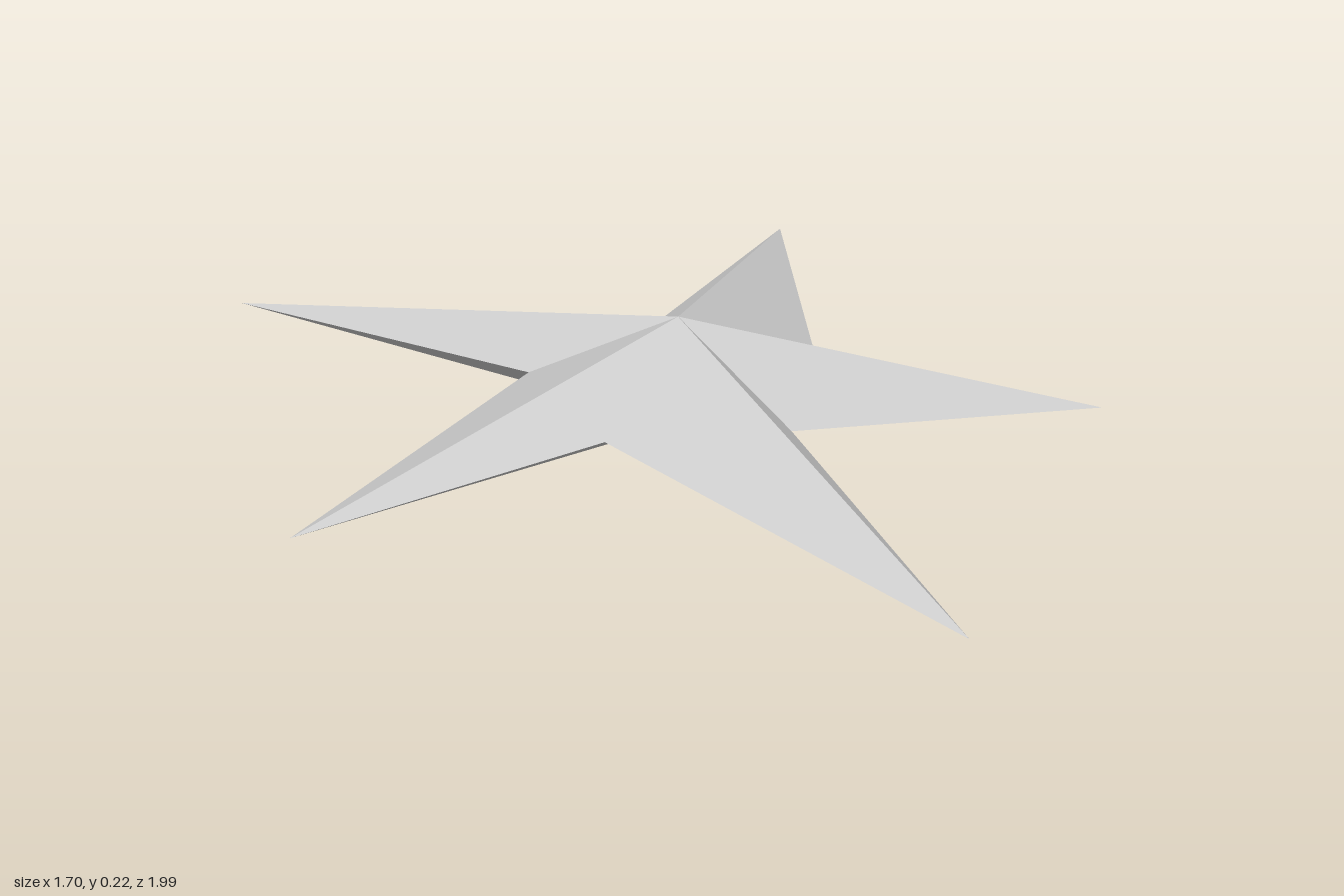
import * as THREE from 'three';

// Outline seen from above, clockwise: ray tip, then the notch after it (x, z)
const OUTLINE = [
  [-0.26, -1.0], [0.2, -0.23],
  [0.845, -0.5], [0.31, 0.1],
  [0.61, 0.58], [0.02, 0.31],
  [-0.27, 0.99], [-0.26, 0.1],
  [-0.85, -0.09], [-0.15, -0.23],
];
const TIP_Y = 0.03, NOTCH_Y = 0.085;
const CENTRE = [0.02, 0.01];

// Fan of flat facets from a central point out to the rim
function facetFan(centreY, facesUp) {
  const rim = OUTLINE.map(([x, z], i) => [x, i % 2 ? NOTCH_Y : TIP_Y, z]);
  const centre = [CENTRE[0], centreY, CENTRE[1]];
  const positions = [];
  rim.forEach((point, i) => {
    const next = rim[(i + 1) % rim.length];
    positions.push(...centre, ...(facesUp ? next : point), ...(facesUp ? point : next));
  });
  const geometry = new THREE.BufferGeometry();
  geometry.setAttribute('position', new THREE.Float32BufferAttribute(positions, 3));
  geometry.computeVertexNormals();
  return geometry;
}

export function createModel() {
  const group = new THREE.Group();
  group.name = 'star';
  const grey = new THREE.MeshStandardMaterial({ color: 0xcccccc });
  grey.name = 'light grey';
  grey.flatShading = true;

  // Raised upper side
  const upper = new THREE.Mesh(facetFan(0.225, true), grey);
  upper.name = 'upperFacets';

  // Shallow underside, resting on its centre point
  const lower = new THREE.Mesh(facetFan(0, false), grey);
  lower.name = 'lowerFacets';

  group.add(upper, lower);
  return group;
}
